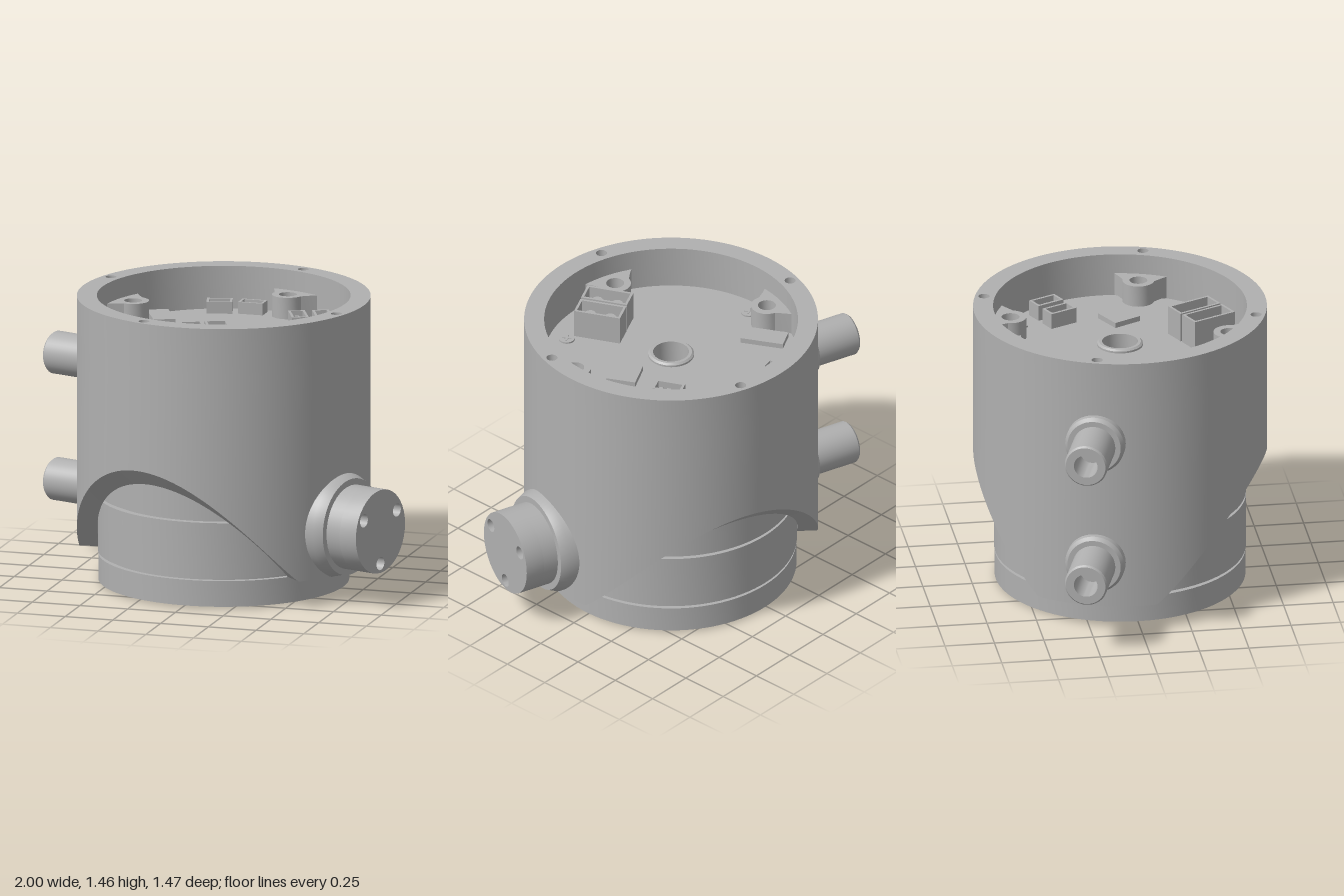
import * as THREE from 'three';
import { toCreasedNormals } from 'three/addons/utils/BufferGeometryUtils.js';

const SEG = 96;
const TILT = 18; // degrees the side fittings are turned about the vertical axis
const rad = THREE.MathUtils.degToRad;
const metal = new THREE.MeshStandardMaterial({ color: 0xb0b0b0, side: THREE.DoubleSide });
metal.name = 'machined grey';

function add(parent, name, geometry, x = 0, y = 0, z = 0) {
  const m = new THREE.Mesh(geometry, metal);
  m.name = name;
  m.position.set(x, y, z);
  parent.add(m);
  return m;
}

const circle = (cx, cy, r, n) => Array.from({ length: n }, (_, i) => {
  const a = (i / n) * Math.PI * 2;
  return new THREE.Vector2(cx + r * Math.cos(a), cy + r * Math.sin(a));
});
const rect = (w, d) => [[-1, -1], [1, -1], [1, 1], [-1, 1]].map(([a, b]) => new THREE.Vector2(a * w / 2, b * d / 2));
const polar = (r, deg) => [r * Math.cos(rad(deg)), r * Math.sin(rad(deg))];

// Extruded outline with holes, along +z
function slab(outline, holes, depth) {
  const shape = new THREE.Shape(outline);
  holes.forEach((h) => shape.holes.push(new THREE.Path(h)));
  return toCreasedNormals(new THREE.ExtrudeGeometry(shape, { depth, bevelEnabled: false }), 0.5);
}
// Horizontal plate whose upper face is at the given height
const plate = (outline, holes, top, depth) => slab(outline, holes, depth).rotateX(Math.PI / 2).translate(0, top, 0);

function lathe(pts, n = SEG) {
  return toCreasedNormals(new THREE.LatheGeometry(pts.map(([r, y]) => new THREE.Vector2(r, y)), n), 0.5);
}

// Lower edge of the housing: two low lobes at the sides, arches at front and back
function edge(angle, rise, power) {
  const phi = Math.acos(Math.min(1, Math.abs(Math.sin(angle))));
  const c = Math.cos(Math.min(Math.PI / 2, phi * 90 / 66));
  return 0.13 + rise * Math.pow(Math.max(0, c), power);
}

// Closed band between two rings given as angle -> [radius, height]
function band(lower, upper) {
  const pos = [], idx = [], n = SEG * 2;
  for (let i = 0; i < n; i++) {
    const a = (i / n) * Math.PI * 2;
    for (const f of [lower, upper]) {
      const [r, y] = f(a);
      pos.push(r * Math.cos(a), y, r * Math.sin(a));
    }
    const p = i * 2, q = ((i + 1) % n) * 2;
    idx.push(p, p + 1, q, q, p + 1, q + 1);
  }
  const g = new THREE.BufferGeometry();
  g.setAttribute('position', new THREE.Float32BufferAttribute(pos, 3));
  g.setIndex(idx);
  g.computeVertexNormals();
  return g;
}

// Cross-head screw lying on a horizontal face; dir is +1 facing up, -1 facing down
function screw(parent, x, y, z, r, dir) {
  const g = new THREE.Group();
  g.name = 'screw';
  g.position.set(x, y, z);
  add(g, 'screwHead', new THREE.CylinderGeometry(r, r, 0.008, 20));
  for (const turn of [0.5, 0.5 + Math.PI / 2]) {
    add(g, 'screwCross', new THREE.BoxGeometry(r * 1.2, 0.006, r * 0.25), 0, dir * 0.005, 0).rotation.y = turn;
  }
  parent.add(g);
}

// Open-topped connector with a row of pins
function socket(parent, name, [x, z, w, d, h, turn, pins, round]) {
  const g = new THREE.Group();
  g.name = name;
  g.position.set(x, 1.24, z);
  g.rotation.y = rad(turn);
  add(g, 'shell', plate(rect(w, d), [rect(w - 0.025, d - 0.025)], h, h));
  add(g, 'well', new THREE.BoxGeometry(w - 0.01, h * 0.4, d - 0.01), 0, h * 0.2, 0);
  const along = w > d ? w : d;
  for (let i = 0; i < pins; i++) {
    const t = ((i + 0.5) / pins - 0.5) * (along - 0.03);
    const geo = round ? new THREE.CylinderGeometry(0.028, 0.028, h * 0.4, 16) : new THREE.BoxGeometry(0.02, h * 0.4, 0.02);
    add(g, 'pin', geo, w > d ? t : 0, h * 0.55, w > d ? 0 : t);
  }
  parent.add(g);
}

export function createModel() {
  const root = new THREE.Group();
  root.name = 'actuatorHousing';
  const body = new THREE.Group();
  body.name = 'body';
  body.position.x = 0.02;
  body.rotation.y = -rad(TILT);
  root.add(body);

  // Rotating base with mounting holes and a slightly sunken centre
  const mounts = [];
  for (let i = 0; i < 8; i++) mounts.push(circle(...polar(0.54, 35 - TILT + i * 45), 0.028, 16));
  mounts.push(circle(...polar(0.54, 284 - TILT), 0.018, 16));
  add(body, 'baseRing', plate(circle(0, 0, 0.628, SEG), [circle(0, 0, 0.455, SEG), ...mounts], 0.132, 0.132));
  add(body, 'baseCentre', plate(circle(0, 0, 0.45, SEG), [circle(0, 0, 0.1, 40)], 0.132, 0.127));
  for (let i = 0; i < 4; i++) {
    const [x, z] = polar(0.54, 57 - TILT + i * 90);
    screw(body, x, -0.001, z, 0.045, -1);
  }

  // Inner drum with narrow grooves and a bore through the middle
  add(body, 'drum', lathe([[0.09, 0.1], [0.6, 0.1], [0.6, 0.147], [0.63, 0.147], [0.63, 0.43], [0.595, 0.43],
    [0.595, 0.445], [0.63, 0.445], [0.63, 1.2], [0.09, 1.2], [0.09, 0.1]]));

  // Outer housing with arched lower edge and sloping lip
  const R = 0.735, IN = 0.632;
  const outerEdge = (a) => [R, edge(a, 0.56, 1.1)];
  const innerEdge = (a) => [IN, edge(a, 0.47, 0.95)];
  add(body, 'housingWall', band(outerEdge, () => [R, 1.2]));
  add(body, 'housingLip', band(innerEdge, outerEdge));
  add(body, 'housingInside', band(() => [IN, 1.2], innerEdge));
  const rimHoles = [0, 90, 180, 270].map((d) => circle(...polar(0.69, d), 0.028, 16));
  add(body, 'housingRim', plate(circle(0, 0, R, SEG * 2), [circle(0, 0, 0.635, SEG), ...rimHoles], 1.453, 0.253));

  // Recessed floor, circuit plate and bore collar
  add(body, 'floor', plate(circle(0, 0, 0.7, SEG), [circle(0, 0, 0.1, 40)], 1.232, 0.04));
  add(body, 'circuitPlate', plate(circle(0, 0, 0.61, SEG), [circle(0, 0, 0.1, 40)], 1.24, 0.009));
  add(body, 'boreCollar', lathe([[0.09, 1.15], [0.115, 1.15], [0.115, 1.25], [0.105, 1.258], [0.09, 1.258], [0.09, 1.15]], 48));

  // Threaded bosses joined to the wall
  for (let i = 0; i < 4; i++) {
    const half = circle(0.555, 0, 0.08, 32).filter((p) => p.x <= 0.5551).sort((a, b) => b.y - a.y);
    const outline = [new THREE.Vector2(0.64, 0.15), new THREE.Vector2(0.595, 0.11), ...half,
      new THREE.Vector2(0.595, -0.11), new THREE.Vector2(0.64, -0.15)];
    add(body, 'boss', plate(outline, [circle(0.555, 0, 0.045, 24)], 1.35, 0.115)).rotation.y = i * Math.PI / 2;
  }

  // Side cap: flange trimmed at the bottom, then a drum with three holes
  const flange = lathe([[0, 0.6], [0.265, 0.6], [0.265, 0.735], [0.245, 0.78], [0, 0.78]], 64)
    .rotateZ(-Math.PI / 2).translate(0, 0.37, 0);
  const p = flange.attributes.position;
  for (let i = 0; i < p.count; i++) p.setY(i, Math.max(0.124, p.getY(i)));
  add(body, 'capFlange', flange);
  const capHoles = [30, 150, 270].map((d) => circle(...polar(0.165, d), 0.034, 20));
  add(body, 'capFace', slab(circle(0, 0, 0.213, 40), capHoles, 0.1).rotateY(Math.PI / 2), 0.86, 0.37, 0);
  add(body, 'capDrum', new THREE.CylinderGeometry(0.213, 0.213, 0.1, 40).rotateZ(Math.PI / 2), 0.81, 0.37, 0);

  // Two hollow pipe fittings on the opposite side
  for (const y of [0.37, 1.02]) {
    const pipe = lathe([[0, 0.6], [0.15, 0.6], [0.15, 0.765], [0.135, 0.785], [0.108, 0.785], [0.108, 1.027],
      [0.1, 1.037], [0.06, 1.037], [0.06, 0.85], [0, 0.85]], 40).rotateZ(Math.PI / 2);
    add(body, 'pipeFitting', pipe, 0, y, 0);
  }

  // Electronics on the recessed floor: x, z, width, depth, height, turn, pins, round pins
  const board = new THREE.Group();
  board.name = 'electronics';
  root.add(board);
  [[0.0, 0.445, 0.115, 0.24, 0.15, 25, 2, true], [0.115, 0.39, 0.115, 0.24, 0.15, 25, 2, true]]
    .forEach((s) => socket(board, 'powerTerminal', s));
  [[-0.16, -0.51, 0.13, 0.09, 0.06, 15, 3], [0.005, -0.535, 0.13, 0.08, 0.06, 0, 3],
    [0.33, -0.26, 0.085, 0.15, 0.08, 25, 3], [0.44, -0.31, 0.085, 0.15, 0.08, 25, 3]]
    .forEach((s) => socket(board, 'signalConnector', s));
  for (const [x, z, w, d] of [[-0.39, -0.26, 0.11, 0.22], [0.325, 0.04, 0.15, 0.15]]) {
    add(board, 'chip', new THREE.BoxGeometry(w, 0.03, d), x, 1.252, z).rotation.y = rad(27);
  }
  for (const [x, z] of [[0.32, -0.46], [-0.52, -0.04], [0.265, 0.48]]) screw(board, x, 1.244, z, 0.04, 1);

  return root;
}
